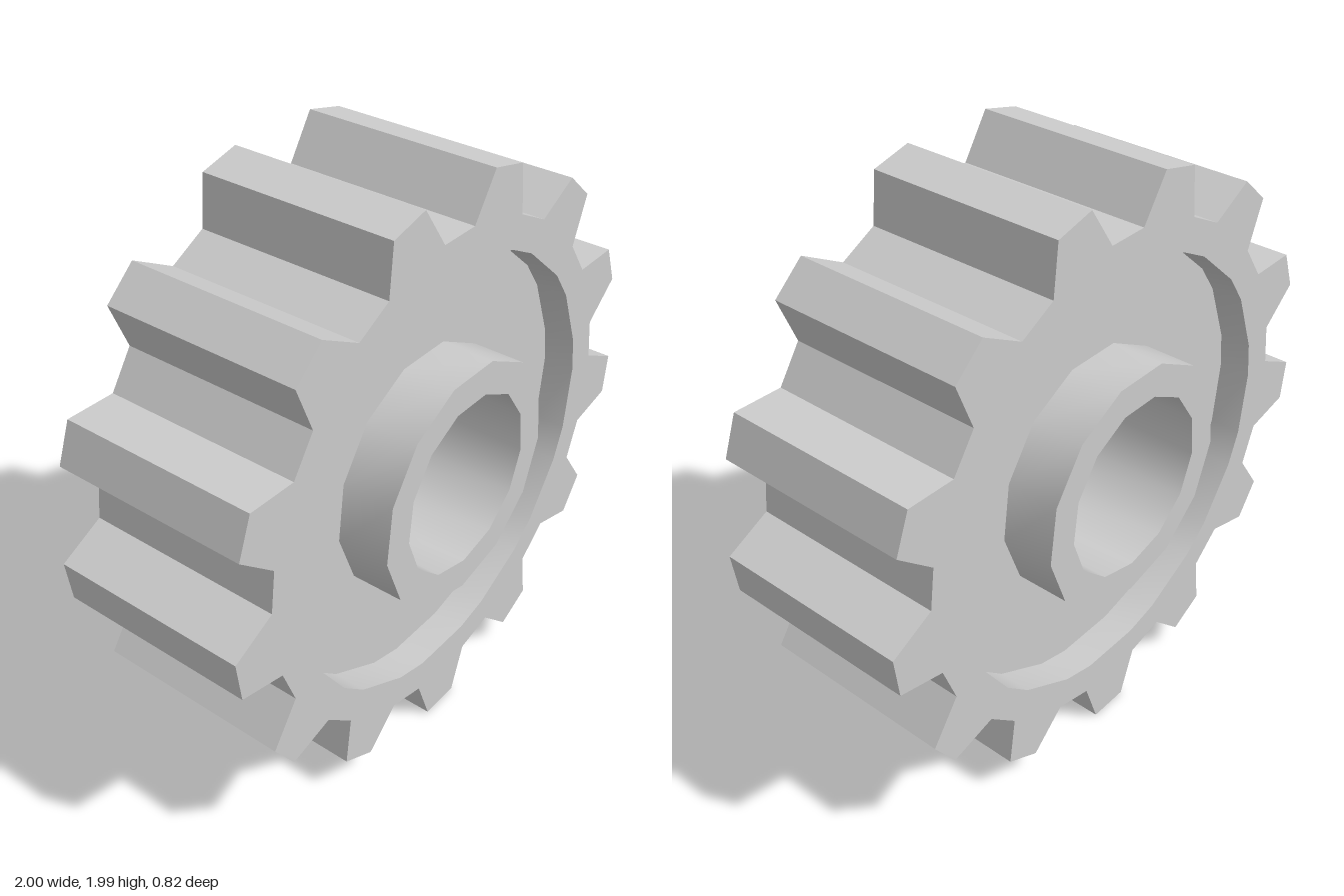
import * as THREE from 'three';
import { toCreasedNormals } from 'three/addons/utils/BufferGeometryUtils.js';

const TEETH = 13;
const STEP = (Math.PI * 2) / TEETH;
const DEG = Math.PI / 180;

// Half depths of the rim, the recessed web and the hub
const RIM_Z = 0.342, WEB_Z = 0.23, HUB_Z = 0.412;

// Each outline has four [radius, angle] corners per tooth, some of them shared
const ROOT = 8.9 * DEG, TIP = 4.13 * DEG;
const bore = [[0.309, 0], [0.309, 0], [0.309, 0], [0.309, 0]];
const hub = [[0.418, 0], [0.418, 0], [0.418, 0], [0.418, 0]];
const recess = [[0.737, -ROOT], [0.737, -ROOT], [0.737, ROOT], [0.737, ROOT]];
const toothed = [[0.846, -ROOT], [1.0012, -TIP], [1.0012, TIP], [0.846, ROOT]];

// Ring of points around the axle at depth z, with one tooth pointing straight down
function ring(outline, z) {
  const points = [];
  for (let t = 0; t < TEETH; t++) {
    for (const [r, offset] of outline) {
      const a = -Math.PI / 2 + t * STEP + offset;
      points.push(new THREE.Vector3(r * Math.cos(a), r * Math.sin(a), z));
    }
  }
  return points;
}

// Skin a series of rings, leaving out triangles that collapse at shared corners
function skin(...rings) {
  const positions = [];
  const triangle = (a, b, c) => {
    const e = 1e-6;
    if (a.distanceTo(b) < e || b.distanceTo(c) < e || c.distanceTo(a) < e) return;
    for (const p of [a, b, c]) positions.push(p.x, p.y, p.z);
  };
  for (let k = 0; k < rings.length - 1; k++) {
    const a = rings[k], b = rings[k + 1];
    for (let i = 0; i < a.length; i++) {
      const j = (i + 1) % a.length;
      triangle(a[i], b[i], b[j]);
      triangle(a[i], b[j], a[j]);
    }
  }
  const geometry = new THREE.BufferGeometry();
  geometry.setAttribute('position', new THREE.Float32BufferAttribute(positions, 3));
  return toCreasedNormals(geometry, 30 * DEG);
}

export function createModel() {
  const group = new THREE.Group();
  group.name = 'gear';
  const material = new THREE.MeshStandardMaterial({ color: 0xcccccc });

  const add = (name, geometry) => {
    const mesh = new THREE.Mesh(geometry, material);
    mesh.name = name;
    mesh.position.y = 1.0012 * Math.cos(TIP);
    group.add(mesh);
  };

  // Toothed rim with the recess walls on both faces
  add('toothedRim', skin(
    ring(recess, WEB_Z), ring(recess, RIM_Z), ring(toothed, RIM_Z),
    ring(toothed, -RIM_Z), ring(recess, -RIM_Z), ring(recess, -WEB_Z)));

  // Recessed web between hub and rim
  add('frontWeb', skin(ring(hub, WEB_Z), ring(recess, WEB_Z)));
  add('backWeb', skin(ring(recess, -WEB_Z), ring(hub, -WEB_Z)));

  // Hub collar with its through bore
  add('hub', skin(
    ring(hub, -WEB_Z), ring(hub, -HUB_Z), ring(bore, -HUB_Z),
    ring(bore, HUB_Z), ring(hub, HUB_Z), ring(hub, WEB_Z)));

  return group;
}
